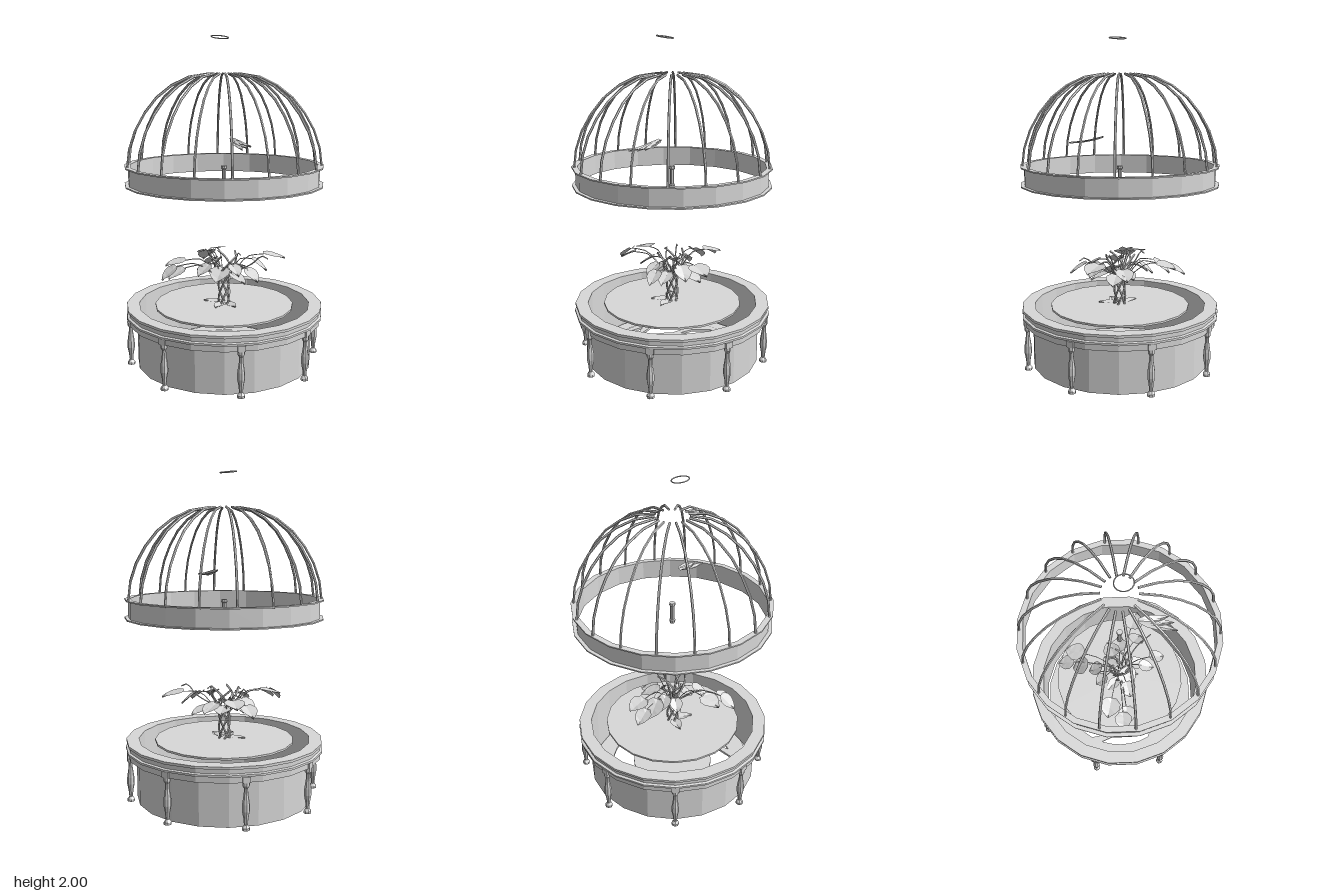
import * as THREE from 'three';

const V = (x, y, z) => new THREE.Vector3(x, y, z);

export function createModel() {
  const model = new THREE.Group();
  const grey = new THREE.MeshStandardMaterial({ color: 0xd8d8d8, flatShading: true, side: THREE.DoubleSide });
  grey.name = 'grey';

  const add = (name, geometry, parent = model) => {
    const mesh = new THREE.Mesh(geometry, grey);
    mesh.name = name;
    parent.add(mesh);
    return mesh;
  };
  const group = (name) => {
    const g = new THREE.Group();
    g.name = name;
    model.add(g);
    return g;
  };
  const lathe = (points, sides) => new THREE.LatheGeometry(points.map(p => new THREE.Vector2(...p)), sides);
  const tube = (points, segments, radius, sides = 5) =>
    new THREE.TubeGeometry(new THREE.CatmullRomCurve3(points), segments, radius, sides);

  // Drum wall and the moulded rim above it
  add('drum', lathe([[0.53, 0], [0.545, 0], [0.545, 0.29], [0.53, 0.29], [0.53, 0]], 20));
  add('rim', lathe([
    [0.53, 0.275], [0.6, 0.275], [0.6, 0.308], [0.612, 0.312], [0.612, 0.324], [0.597, 0.328],
    [0.597, 0.352], [0.608, 0.355], [0.608, 0.37], [0.53, 0.37], [0.53, 0.275],
  ], 20));

  // Balusters with a block over each
  const columns = group('columns');
  for (let i = 0; i < 8; i++) {
    const a = i * Math.PI / 4;
    const column = add('column', lathe([
      [0, 0], [0.023, 0], [0.023, 0.014], [0.011, 0.03], [0.015, 0.07], [0.023, 0.11],
      [0.022, 0.15], [0.013, 0.21], [0.012, 0.24], [0.021, 0.255], [0.021, 0.275], [0, 0.275],
    ], 8), columns);
    column.position.set(0.585 * Math.sin(a), 0, 0.585 * Math.cos(a));
    const block = add('columnBlock', new THREE.BoxGeometry(0.046, 0.034, 0.04), columns);
    block.position.set(0.585 * Math.sin(a), 0.292, 0.585 * Math.cos(a));
    block.rotation.y = a;
  }

  // Floor ring around the fan wheel
  const floor = add('floorRing', new THREE.RingGeometry(0.435, 0.515, 20));
  floor.rotation.x = -Math.PI / 2;
  floor.position.y = 0.025;
  const wheel = new THREE.Shape().absarc(0, 0, 0.44, 0, Math.PI * 2);
  for (let i = 0; i < 6; i++) {
    const pts = [];
    const start = i * Math.PI / 3;
    for (let j = 0; j <= 5; j++) pts.push([0.4, start + 0.5 + j * 0.17]);
    pts.push([0.33, start + 1.08]);
    for (let j = 5; j >= 0; j--) pts.push([0.26, start + j * 0.17]);
    pts.push([0.33, start + 0.2]);
    wheel.holes.push(new THREE.Path(pts.map(([r, a]) => new THREE.Vector2(r * Math.cos(a), r * Math.sin(a)))));
  }
  const fan = add('fanWheel', new THREE.ExtrudeGeometry(wheel, { depth: 0.015, bevelEnabled: false, curveSegments: 24 }));
  fan.rotation.x = Math.PI / 2;
  fan.position.y = 0.02;
  add('fanHub', new THREE.CylinderGeometry(0.025, 0.025, 0.015, 8)).position.y = 0.008;

  // Round table in the middle of the drum
  add('table', new THREE.CylinderGeometry(0.43, 0.43, 0.012, 20)).position.y = 0.359;

  // Cage: band, flanges and bars
  add('cageBand', lathe([
    [0.57, 1.12], [0.605, 1.12], [0.605, 1.128], [0.583, 1.128], [0.583, 1.232], [0.605, 1.232],
    [0.605, 1.24], [0.57, 1.24], [0.57, 1.12],
  ], 20));
  const bars = group('cageBars');
  const profile = [[0.588, 1.23], [0.565, 1.38], [0.495, 1.53], [0.39, 1.66], [0.26, 1.745], [0.15, 1.78], [0.1, 1.782]];
  for (let i = 0; i < 18; i++) {
    const bar = add('cageBar', tube(profile.map(([r, y]) => V(0, y, r)), 7, 0.0075, 6), bars);
    bar.rotation.y = i * Math.PI / 9;
  }

  // Small hanging spool and the tilted loop on top
  add('spool', lathe([
    [0, 1.094], [0.014, 1.094], [0.019, 1.116], [0.013, 1.12], [0.013, 1.21], [0.019, 1.216], [0.018, 1.232], [0, 1.232],
  ], 8));
  const loop = add('topLoop', new THREE.TorusGeometry(0.051, 0.0035, 5, 16));
  loop.position.set(0, 1.993, 0.043);
  loop.rotation.x = Math.PI / 2 - 0.15;

  // Broad pointed leaf, folded along its midrib and curving down along local +z
  const leafGeometry = (length, width, droop = 0.1) => {
    const g = new THREE.PlaneGeometry(1, 1, 2, 4);
    const widths = [0.5, 1, 0.98, 0.65, 0.06];
    const p = g.attributes.position;
    for (let i = 0; i < p.count; i++) {
      const t = p.getY(i) + 0.5;
      const s = p.getX(i);
      p.setXYZ(i, s * width * widths[Math.round(t * 4)], -droop * length * t * t + Math.abs(s) * 0.02, t * length);
    }
    g.computeVertexNormals();
    return g;
  };

  // Plant: loosely twisted trunk stems, branch stems and leaves
  const plant = group('plant');
  for (let i = 0; i < 5; i++) {
    const a = i * Math.PI * 0.4;
    const pts = [];
    for (let j = 0; j <= 8; j++) {
      const t = j / 8;
      const r = 0.034 + Math.max(0, t - 0.55) * 0.13;
      pts.push(V(r * Math.sin(a + t * 4.2), 0.365 + 0.32 * t, r * Math.cos(a + t * 4.2)));
    }
    add('trunkStem', tube(pts, 14, 0.0065), plant);
  }
  // x, y, z of each leaf centre, then length, width and tilt
  const leaves = [
    [-0.22, 0.645, -0.22, 0.13, 0.12, 0.15], [-0.30, 0.61, -0.19, 0.12, 0.1, 0.4], [-0.23, 0.62, -0.12, 0.13, 0.12, 0.6],
    [-0.15, 0.60, -0.06, 0.11, 0.09, 0.6], [0.23, 0.66, -0.22, 0.14, 0.13, 0.15], [0.19, 0.62, -0.11, 0.12, 0.11, 0.6],
    [0.02, 0.57, 0.08, 0.13, 0.13, 0.5], [-0.03, 0.61, 0.17, 0.11, 0.1, 0.5], [-0.20, 0.645, 0.23, 0.13, 0.13, 0.15],
    [-0.12, 0.61, 0.32, 0.12, 0.11, 0.4], [-0.16, 0.61, 0.34, 0.12, 0.11, 0.6], [-0.15, 0.58, 0.02, 0.1, 0.08, 0.5],
    [0.12, 0.55, 0.02, 0.13, 0.09, 0.3], [0.25, 0.60, 0.06, 0.12, 0.09, 0.5], [0.01, 0.58, -0.14, 0.13, 0.11, 0.3],
    [0.08, 0.56, -0.15, 0.12, 0.11, 0.3], [-0.03, 0.56, -0.07, 0.12, 0.12, 0.2], [0.15, 0.62, 0.09, 0.11, 0.08, 0.4],
  ];
  leaves.forEach(([x, y, z, length, width, tilt]) => {
    const heading = Math.atan2(x, z);
    const rise = Math.sin(tilt) * length / 2;
    const reach = Math.cos(tilt) * length / 2;
    const leaf = add('leaf', leafGeometry(length, width), plant);
    leaf.rotation.order = 'YXZ';
    leaf.rotation.set(tilt, heading, 0);
    const start = V(x - Math.sin(heading) * reach, y + rise, z - Math.cos(heading) * reach);
    leaf.position.copy(start);
    const mid = V(start.x * 0.6, Math.min(0.66, start.y), start.z * 0.6);
    add('branchStem', tube([V(x * 0.12, 0.53, z * 0.12), mid, start], 6, 0.003, 4), plant);
  });
  // Low leaves lying flat on the table
  [1.2, -1.2, 0.2].forEach((heading) => {
    const leaf = add('lowLeaf', leafGeometry(0.11, 0.07, 0), plant);
    leaf.position.set(0.02 * Math.sin(heading), 0.367, 0.02 * Math.cos(heading));
    leaf.rotation.y = heading;
  });
  // Curled stem tips
  [[-0.07, 0.05], [-0.14, 0.0], [0.24, -0.06], [0.08, -0.04]].forEach(([x, z]) => {
    add('stemTip', tube([V(x * 0.2, 0.56, z * 0.2), V(x * 0.7, 0.63, z), V(x, 0.69, z), V(x * 1.15, 0.675, z * 1.2)], 8, 0.004, 4), plant);
  });

  // Spread feathers floating inside the cage, curving up toward the tips
  const feathers = group('feathers');
  feathers.position.set(0.09, 1.4, 0.05);
  [0.88, 1.08, 1.28].forEach((heading, i) => {
    const feather = add('feather', leafGeometry(0.23 - i * 0.025, 0.05, -0.15), feathers);
    feather.rotation.order = 'YXZ';
    feather.rotation.set(0.33, heading, 0);
  });

  return model;
}
